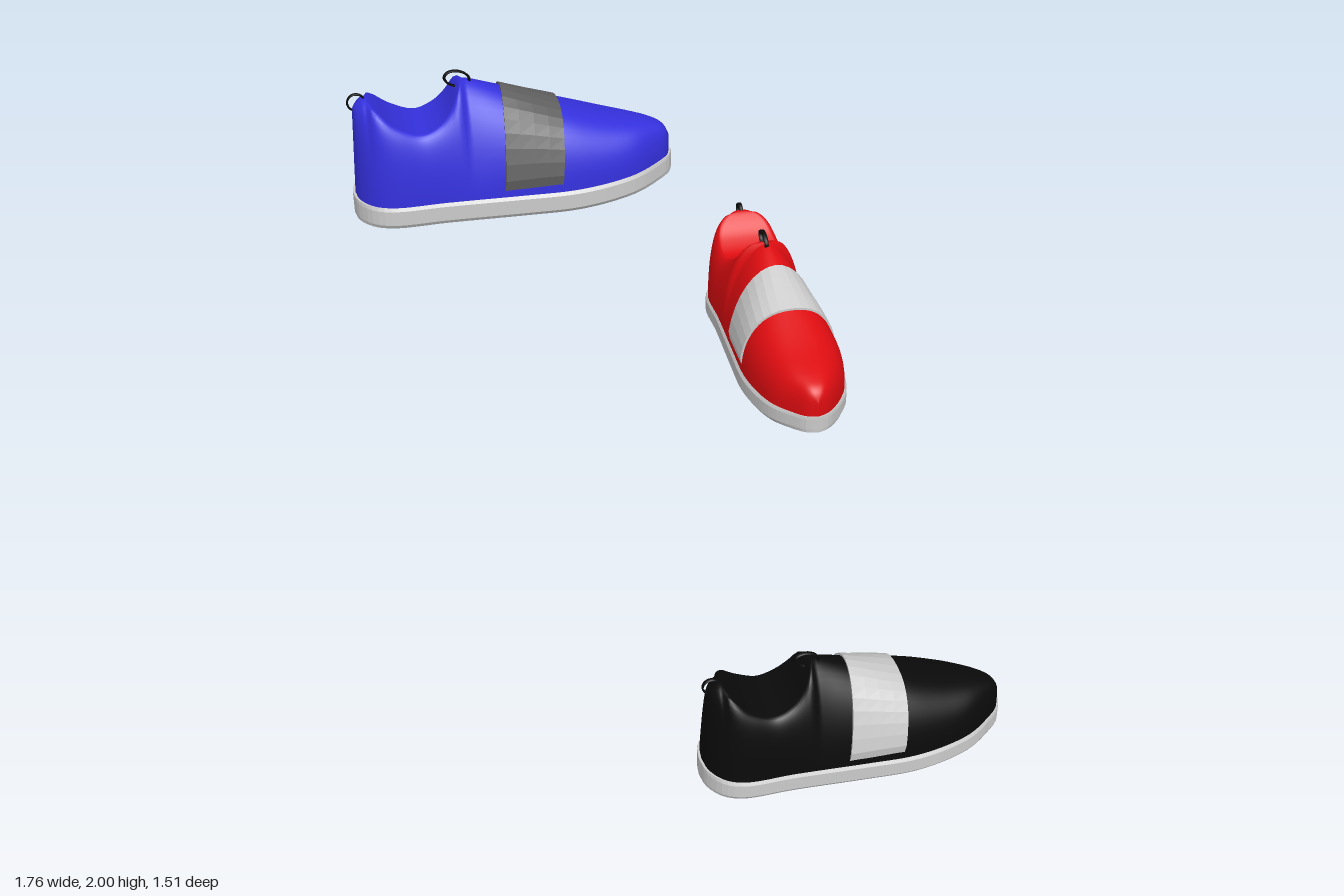
import * as THREE from 'three';
import { mergeVertices } from 'three/addons/utils/BufferGeometryUtils.js';

// A shoe is modelled one unit long: heel at x = 0, toe at x = 1, sole on y = 0.

// Smooth function y(x) through a few points
function profile(pairs) {
  const pts = new THREE.SplineCurve(pairs.map(p => new THREE.Vector2(...p))).getPoints(240);
  return x => {
    if (x <= pts[0].x) return pts[0].y;
    for (let i = 1; i < pts.length; i++) {
      if (x <= pts[i].x) {
        const a = pts[i - 1], b = pts[i];
        return a.y + (b.y - a.y) * (x - a.x) / Math.max(b.x - a.x, 1e-6);
      }
    }
    return pts[pts.length - 1].y;
  };
}

// Footprint: x, centre line offset, half width
const footprint = new THREE.CatmullRomCurve3([
  [0, .012, 0], [.01, .012, .06], [.05, .014, .115], [.11, .015, .14], [.27, .009, .149],
  [.5, .005, .164], [.65, .001, .173], [.74, -.002, .167], [.83, 0, .145], [.88, .003, .122],
  [.935, .004, .085], [.985, .008, .038], [1, .009, 0],
].map(p => new THREE.Vector3(...p)));

// Ridge and collar height along the shoe
const ridge = profile([
  [0, .345], [.02, .365], [.045, .375], [.075, .355], [.13, .31], [.205, .28], [.265, .3],
  [.305, .34], [.335, .392], [.36, .402], [.45, .372], [.645, .296], [.79, .245],
  [.93, .207], [.98, .183], [1, .145],
]);
const fullness = profile([[0, 2.6], [.2, 2.2], [.34, 1.75], [.45, 1.9], [.62, 2.3], [.85, 2.6], [1, 2.8]]);
const toeSpring = x => Math.max(0, (x - .6) / .4) ** 2;
const soleTop = x => .068 + .027 * toeSpring(x);
const collarHalf = x => .092 * Math.sqrt(Math.max(0, 1 - Math.abs((x - .197) / .15) ** 3));

// Surface from rows of points
function loft(rows, closed = false) {
  const n = rows[0].length, index = [];
  for (let i = 0; i < rows.length - 1; i++) {
    for (let j = 0; j < (closed ? n : n - 1); j++) {
      const k = (j + 1) % n;
      const a = i * n + j, b = i * n + k, c = a + n, d = b + n;
      index.push(a, b, c, b, d, c);
    }
  }
  const geo = new THREE.BufferGeometry();
  geo.setAttribute('position', new THREE.Float32BufferAttribute(rows.flat(2), 3));
  geo.setIndex(index);
  const welded = mergeVertices(geo, 1e-5);
  welded.computeVertexNormals();
  return welded;
}

// Point on the upper at a station; side is -1 or 1, a runs from 0 (sole) to PI/2 (ridge or rim)
function upperPoint({ x, y: c, z: w }, side, a, offset = 0) {
  const e = 2 / fullness(x), rim = collarHalf(x), base = soleTop(x) - .008;
  const half = w * .955 + offset;
  const r = Math.min(rim, half * .85);
  const out = r + (half - r) * Math.max(0, Math.cos(a)) ** e;
  const s = Math.sin(a) ** e;
  const lean = .015 * s * (1 - x) ** 8;
  return [.5 + (x - .5) * .985 + lean, base + (ridge(x) + offset - base) * s, c + side * out];
}

function upperGeometry(stations) {
  const n = 14;
  return loft(stations.map(p => {
    const row = [];
    for (let j = 0; j <= n; j++) row.push(upperPoint(p, -1, j / n * Math.PI / 2));
    for (let j = n; j >= 0; j--) row.push(upperPoint(p, 1, j / n * Math.PI / 2));
    return row;
  }));
}

// Inner walls and footbed below the collar
function liningGeometry(stations) {
  const inside = stations.filter((p, i) =>
    [i - 1, i, i + 1].some(k => stations[k] && collarHalf(stations[k].x) > 0));
  return loft(inside.map(p => {
    const l = upperPoint(p, -1, Math.PI / 2), r = upperPoint(p, 1, Math.PI / 2);
    const x = .2 + (l[0] - .2) * .86, c = p.y, h = (r[2] - l[2]) / 2 * .92;
    return [l, [x, .14, c - h], [x, .1, c - h * .9], [x, .1, c + h * .9], [x, .14, c + h], r];
  }));
}

function soleGeometry() {
  return loft(footprint.getSpacedPoints(56).map(({ x, y: c, z: w }) => {
    const b = .035 * toeSpring(x), t = soleTop(x);
    const half = [[.95, b], [1, b + .012], [1, t - .01], [.96, t]];
    const at = (side, [k, y]) => [.5 + (x - .5) * (.98 + k * .02), y, c + side * w * k];
    return [...half.map(h => at(-1, h)), ...half.reverse().map(h => at(1, h))];
  }), true);
}

// Elastic band wrapped over the instep, its border tucked into the upper
function bandGeometry(stations) {
  const n = 9, rows = [], xs = [.445, .445, .49, .535, .58, .625, .625];
  xs.forEach((x, i) => {
    const near = stations.reduce((m, p) => Math.abs(p.x - x) < Math.abs(m.x - x) ? p : m);
    const row = [];
    for (let k = 0; k <= 2 * n; k++) {
      const side = k <= n ? -1 : 1, j = k <= n ? k : 2 * n - k;
      const a = .04 + (Math.PI / 2 - .04) * j / n;
      const border = i === 0 || i === xs.length - 1 || j === 0;
      // the band leans towards the toe as it rises
      const px = x + .022 * Math.sin(a);
      const p = new THREE.Vector3(px, near.y, halfWidth(stations, px));
      row.push(upperPoint(p, side, a, border ? -.004 : .008));
    }
    rows.push(row);
  });
  return loft(rows);
}

function halfWidth(stations, x) {
  const i = Math.max(1, stations.findIndex(p => p.x >= x));
  const a = stations[i - 1], b = stations[i];
  return a.z + (b.z - a.z) * (x - a.x) / (b.x - a.x);
}

function createShoe(name, upperColor, bandColor, geos) {
  const shoe = new THREE.Group();
  shoe.name = name;
  const add = (part, geo, color, options = {}) => {
    const mesh = new THREE.Mesh(geo, new THREE.MeshStandardMaterial({ color, ...options }));
    mesh.name = part;
    shoe.add(mesh);
    return mesh;
  };
  const both = { side: THREE.DoubleSide };
  add('sole', geos.sole, 0xcccccc, { flatShading: true });
  add('upper', geos.upper, upperColor, both);
  add('lining', geos.lining, upperColor, both);
  add('instepBand', geos.band, bandColor, { flatShading: true, ...both });

  // Pull loops at the heel and the tongue
  const heelLoop = add('heelLoop', geos.loop, 0x0a0a0a);
  heelLoop.position.set(.036, .362, .012);
  heelLoop.scale.set(.026, .026, .06);
  const tongueLoop = add('tongueLoop', geos.loop, 0x0a0a0a);
  tongueLoop.position.set(.34, .406, .012);
  tongueLoop.scale.set(.038, .024, .07);
  tongueLoop.rotation.z = -.25;
  return shoe;
}

export function createModel() {
  const stations = footprint.getSpacedPoints(110);
  const geos = {
    sole: soleGeometry(),
    upper: upperGeometry(stations),
    lining: liningGeometry(stations),
    band: bandGeometry(stations),
    loop: new THREE.TorusGeometry(1, .12, 6, 24),
  };
  const model = new THREE.Group();
  model.name = 'shoes';
  // name, upper colour, band colour, length, heel position, turn
  [
    ['blackShoe', 0x0a0a0a, 0xcccccc, .96, [-.08, 0, .58], 0],
    ['redShoe', 0xdd0c10, 0xcccccc, .915, [.407, .85, -.76], -Math.PI / 2],
    ['blueShoe', 0x3430dd, 0x606060, .92, [-.88, 1.6, -.237], 0],
  ].forEach(([name, upper, band, size, position, turn]) => {
    const shoe = createShoe(name, upper, band, geos);
    shoe.scale.setScalar(size);
    shoe.position.set(...position);
    shoe.rotation.y = turn;
    model.add(shoe);
  });
  return model;
}
